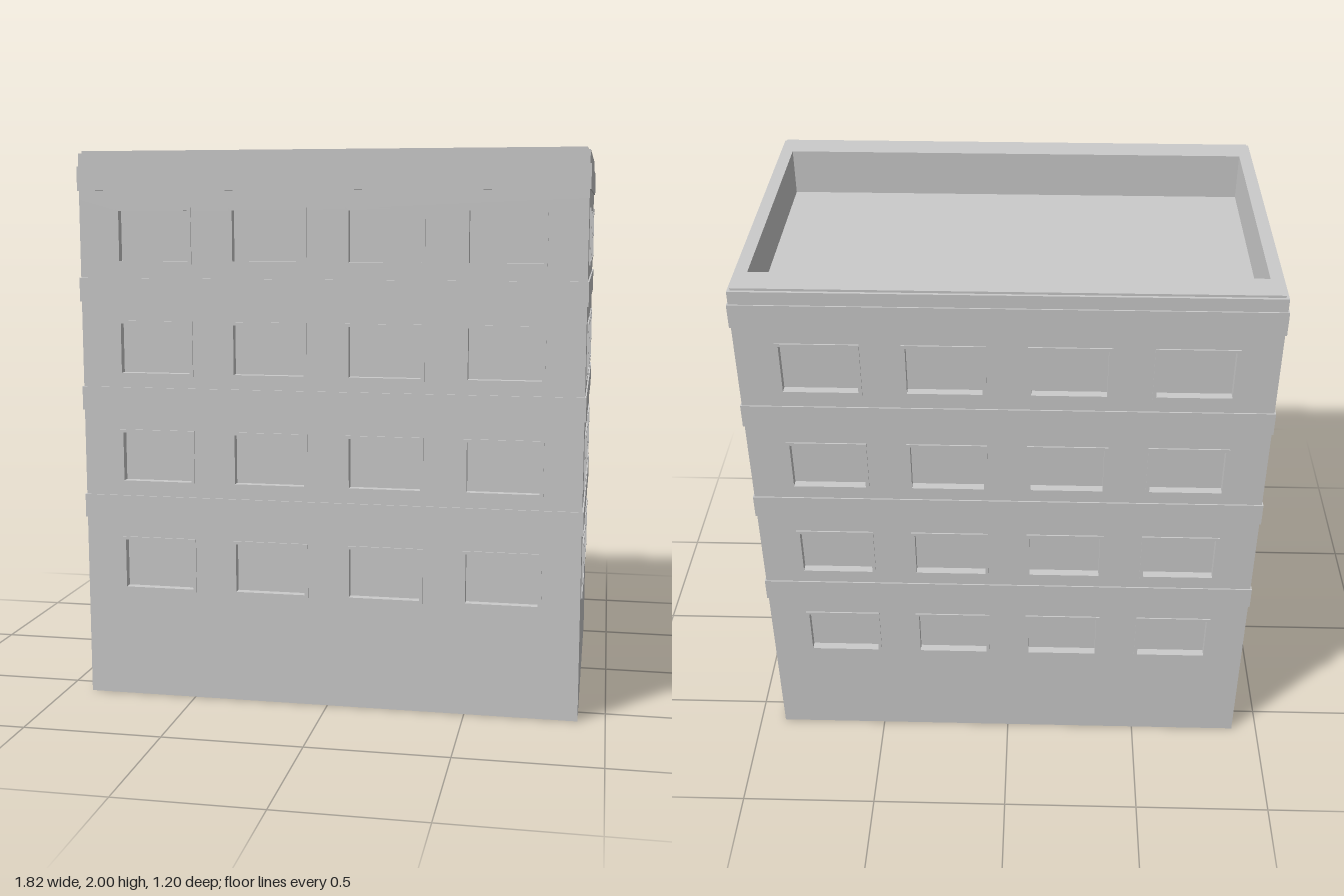
import * as THREE from 'three';

const W = 0.903, D = 0.594;          // half width and half depth of the walls
const ROOF = 1.83, RECESS = 0.025;   // roof deck height, window depth
const ROWS = [0.5, 0.9, 1.297, 1.7]; // window centre heights
const WIN_H = 0.178;
const material = new THREE.MeshStandardMaterial({ color: 0xcccccc, flatShading: true });

function rect(path, cx, cy, w, h) {
  path.moveTo(cx - w / 2, cy - h / 2);
  path.lineTo(cx + w / 2, cy - h / 2);
  path.lineTo(cx + w / 2, cy + h / 2);
  path.lineTo(cx - w / 2, cy + h / 2);
  path.closePath();
  return path;
}

function mesh(name, geometry, parent) {
  const m = new THREE.Mesh(geometry, material);
  m.name = name;
  parent.add(m);
  return m;
}

function extrude(shape, depth) {
  return new THREE.ExtrudeGeometry(shape, { depth, bevelEnabled: false });
}

// Horizontal rectangular ring between two heights
function ring(name, outX, outZ, inX, inZ, y0, y1, parent) {
  const shape = rect(new THREE.Shape(), 0, 0, outX * 2, outZ * 2);
  shape.holes.push(rect(new THREE.Path(), 0, 0, inX * 2, inZ * 2));
  const geometry = extrude(shape, y1 - y0).rotateX(-Math.PI / 2).translate(0, y0, 0);
  return mesh(name, geometry, parent);
}

// One wall with window openings and thin raised surrounds, its outer face at z = dist
function facade(name, halfWidth, dist, columns, winW, angle, parent) {
  const group = new THREE.Group();
  group.name = name;
  const wall = rect(new THREE.Shape(), 0, ROOF / 2, halfWidth * 2, ROOF);
  for (const y of ROWS) {
    for (const x of columns) {
      wall.holes.push(rect(new THREE.Path(), x, y, winW, WIN_H));
      const trim = rect(new THREE.Shape(), x, y, winW + 0.025, WIN_H + 0.022);
      trim.holes.push(rect(new THREE.Path(), x, y, winW, WIN_H));
      mesh('windowSurround', extrude(trim, 0.006).translate(0, 0, dist - 0.001), group);
    }
  }
  mesh('wall', extrude(wall, RECESS).translate(0, 0, dist - RECESS), group);
  group.rotation.y = angle;
  parent.add(group);
}

export function createModel() {
  const model = new THREE.Group();
  model.name = 'apartmentBuilding';

  // Inner block: window panes, roof deck and underside
  const core = new THREE.BoxGeometry((W - RECESS) * 2, ROOF, (D - RECESS) * 2);
  mesh('core', core.translate(0, ROOF / 2, 0), model);

  // Four facades
  const longColumns = [-0.628, -0.209, 0.209, 0.628];
  const shortColumns = [-0.255, 0.255];
  facade('frontFacade', W, D, longColumns, 0.255, 0, model);
  facade('backFacade', W, D, longColumns, 0.255, Math.PI, model);
  facade('leftFacade', D - RECESS, W, shortColumns, 0.312, Math.PI / 2, model);
  facade('rightFacade', D - RECESS, W, shortColumns, 0.312, -Math.PI / 2, model);

  // Shallow bands between the storeys and below the parapet
  for (const y of [0.67, 1.07, 1.465, 1.86]) {
    ring('storeyBand', W + 0.005, D + 0.005, W - 0.01, D - 0.01, y, y + 0.085, model);
  }

  // Parapet around the sunken roof, with a slightly inset coping
  ring('parapet', W, D, 0.855, 0.475, ROOF, 1.992, model);
  ring('coping', W - 0.01, D - 0.01, 0.855, 0.475, 1.992, 2, model);

  return model;
}
